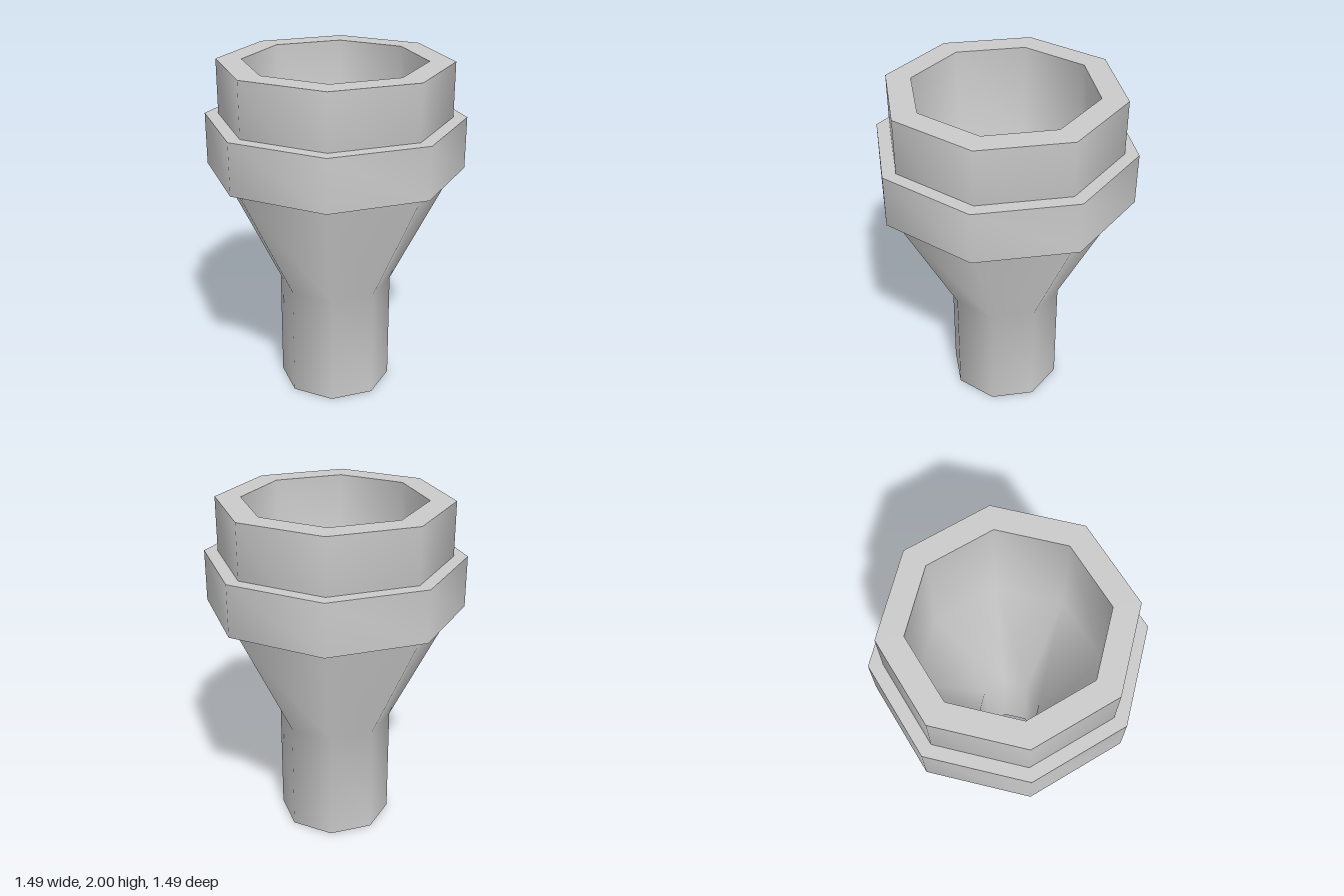
import * as THREE from 'three';
import { toCreasedNormals } from 'three/addons/utils/BufferGeometryUtils.js';

const SIDES = 8;

// Octagonal turned part: smooth around the axis, sharp at the rims
function turned(name, profile, material) {
  const points = profile.map(([r, y]) => new THREE.Vector2(r, y));
  const geometry = toCreasedNormals(new THREE.LatheGeometry(points, SIDES), Math.PI / 3);
  const mesh = new THREE.Mesh(geometry, material);
  mesh.name = name;
  return mesh;
}

export function createModel() {
  const group = new THREE.Group();
  group.name = 'funnelAdapter';
  const material = new THREE.MeshStandardMaterial({ color: 0xcccccc });

  // Hollow body: narrow spout, flared cone and wide mouth, then back down the bore
  group.add(turned('funnelBody', [
    [0.19, 0], [0.333, 0], [0.333, 0.667], [0.667, 1.333], [0.667, 2],
    [0.522, 2], [0.522, 1.333], [0.19, 0.667], [0.19, 0],
  ], material));

  // Raised band around the mouth
  group.add(turned('collar', [
    [0.667, 1.385], [0.745, 1.385], [0.745, 1.685], [0.667, 1.685],
  ], material));

  return group;
}
